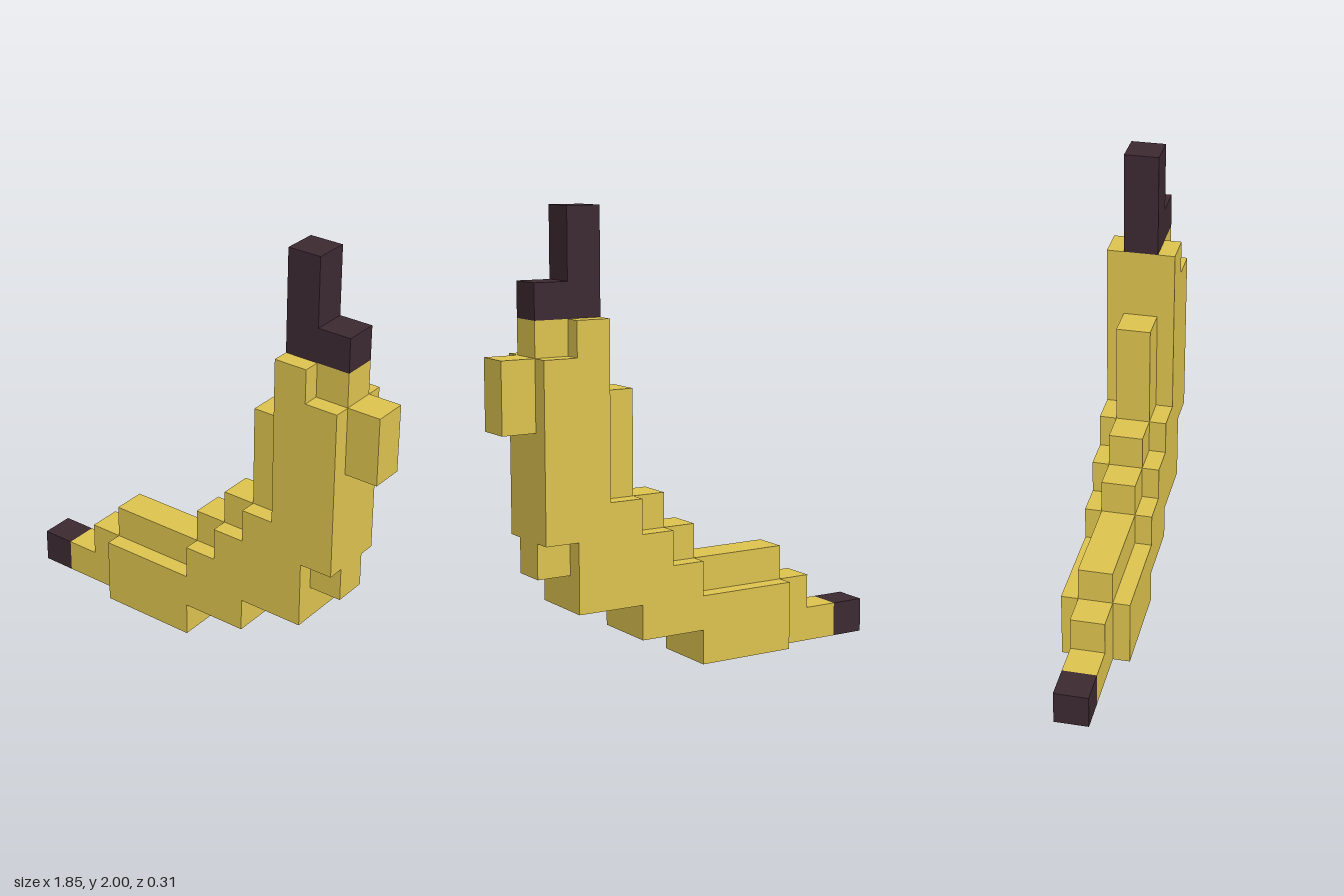
import * as THREE from 'three';

const U = 2 / 13; // one grid cell

export function createModel() {
  const model = new THREE.Group();
  model.name = 'blockyBanana';
  const peel = new THREE.MeshStandardMaterial({ color: 0xdcc24e, flatShading: true });
  const dark = new THREE.MeshStandardMaterial({ color: 0x3c2931, flatShading: true });

  // Extrudes an outline given in grid cells, centred on z = 0
  function slab(name, outline, cellsDeep, material) {
    const shape = new THREE.Shape(outline.map(([x, y]) => new THREE.Vector2(x * U, y * U)));
    const geometry = new THREE.ExtrudeGeometry(shape, { depth: cellsDeep * U, bevelEnabled: false });
    geometry.translate(0, 0, -cellsDeep * U / 2);
    const mesh = new THREE.Mesh(geometry, material);
    mesh.name = name;
    model.add(mesh);
  }

  const rect = (x0, y0, x1, y1) => [[x0, y0], [x1, y0], [x1, y1], [x0, y1]];

  // Wide stepped body
  slab('body', [
    [-3, 0], [0, 0], [0, 1], [2, 1], [2, 2], [4, 2], [4, 4], [5, 4], [5, 9], [4, 9],
    [4, 10], [3, 10], [3, 5], [2, 5], [2, 4], [1, 4], [1, 3], [0, 3], [0, 2], [-3, 2],
  ], 2, peel);

  // Narrow ridge blocks along the inner curve
  [
    rect(-3, 2, 0, 3),
    rect(0, 3, 1, 4),
    rect(1, 4, 2, 5),
    rect(2, 5, 3, 8),
  ].forEach((r, i) => slab(`innerRidge${i + 1}`, r, 1, peel));

  // Narrow ridge blocks along the outer curve
  [
    rect(4, 3, 5, 4),
    rect(5, 7, 6, 9),
    rect(4, 9, 5, 10),
  ].forEach((r, i) => slab(`outerRidge${i + 1}`, r, 1, peel));

  // Tapered lower end and its dark tip
  slab('lowerEnd', [[-5, 0], [-3, 0], [-3, 2], [-4, 2], [-4, 1], [-5, 1]], 1, peel);
  slab('tip', rect(-6, 0, -5, 1), 1, dark);

  // Dark L-shaped stem
  slab('stem', [[3, 10], [5, 10], [5, 11], [4, 11], [4, 13], [3, 13]], 1, dark);

  return model;
}
